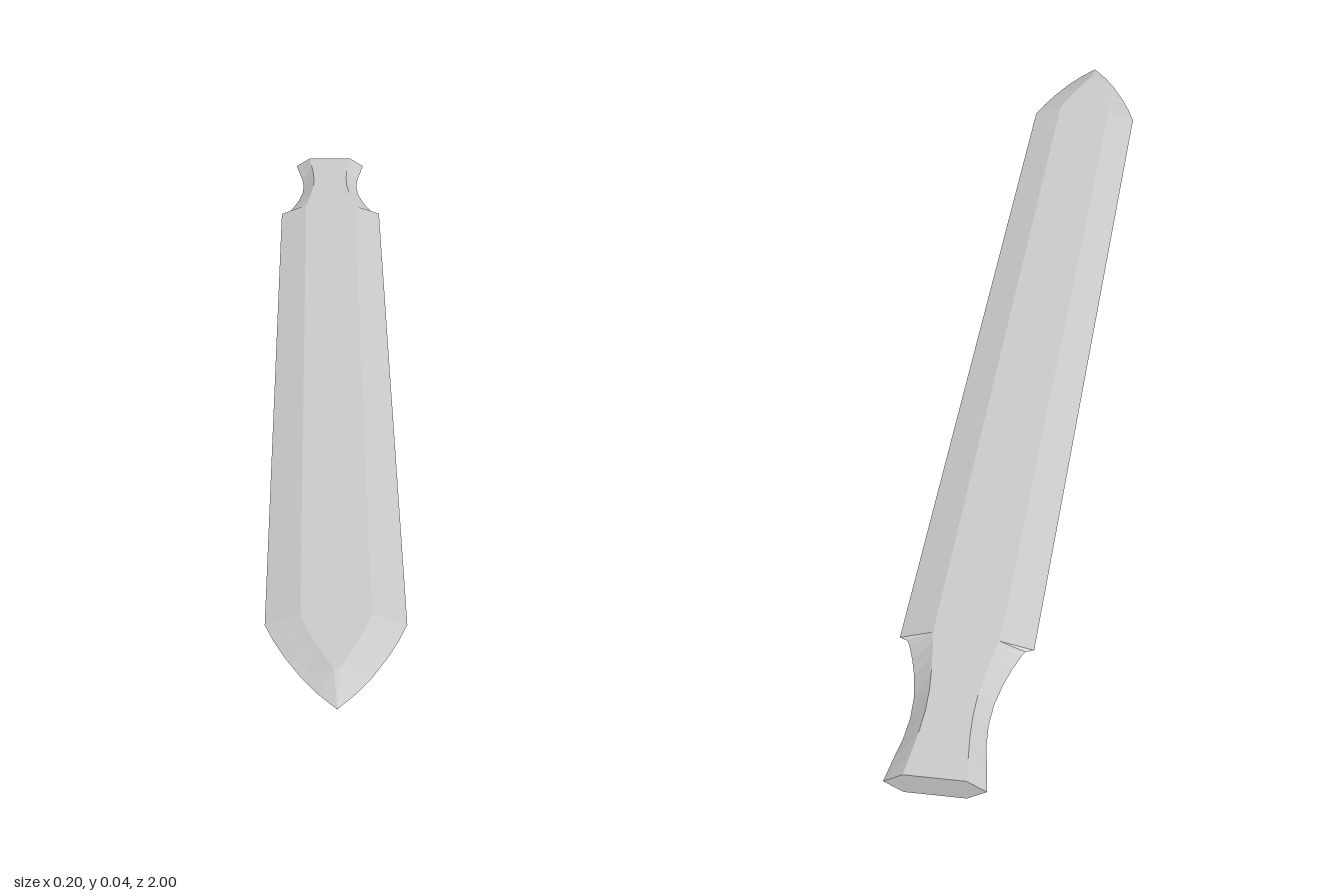
import * as THREE from 'three';

const MID = 0.0175; // height of the cutting edge
const HALF = 0.0175; // half thickness

// Lofts hexagonal sections [z, edge half width, flat half width, half thickness], ordered back to front
function loft(name, sections, capBack) {
  const rings = sections.map(([z, w, f, t]) => [
    [w, 0], [f, t], [-f, t], [-w, 0], [-f, -t], [f, -t],
  ].map(([x, y]) => [x, MID + y, z]));
  const pos = [];
  const tri = (a, b, c) => pos.push(...a, ...b, ...c);
  for (let i = 0; i < rings.length - 1; i++) {
    for (let k = 0; k < 6; k++) {
      const n = (k + 1) % 6;
      const [a, b] = [rings[i], rings[i + 1]];
      tri(a[k], b[n], b[k]);
      tri(a[k], a[n], b[n]);
    }
  }
  if (capBack) {
    const r = rings[0];
    for (let k = 1; k < 5; k++) tri(r[0], r[k + 1], r[k]);
  }
  const geo = new THREE.BufferGeometry();
  geo.setAttribute('position', new THREE.Float32BufferAttribute(pos, 3));
  geo.computeVertexNormals();
  const mesh = new THREE.Mesh(geo, new THREE.MeshStandardMaterial({ color: 0xcccccc, flatShading: true }));
  mesh.name = name;
  return mesh;
}

export function createModel() {
  const group = new THREE.Group();
  group.name = 'blade';

  // Long bevelled body with a curved point
  group.add(loft('bladeBody', [
    [-0.74, 0.083, 0.047, HALF],
    [-0.73, 0.088, 0.049, HALF],
    [-0.725, 0.1, 0.05, HALF],
    [0.8, 0.1, 0.05, HALF],
    [0.84, 0.087, 0.039, HALF],
    [0.88, 0.071, 0.025, HALF],
    [0.93, 0.047, 0.004, HALF],
    [0.965, 0.026, 0.002, 0.009],
    [1, 0, 0, 0],
  ], false));

  // Waisted tang that flares towards its flat end
  group.add(loft('tang', [
    [-1, 0.072, 0.044, HALF],
    [-0.96, 0.066, 0.04, HALF],
    [-0.92, 0.059, 0.036, HALF],
    [-0.88, 0.056, 0.034, HALF],
    [-0.84, 0.058, 0.035, HALF],
    [-0.8, 0.065, 0.039, HALF],
    [-0.77, 0.073, 0.043, HALF],
    [-0.74, 0.083, 0.047, HALF],
  ], true));

  return group;
}
